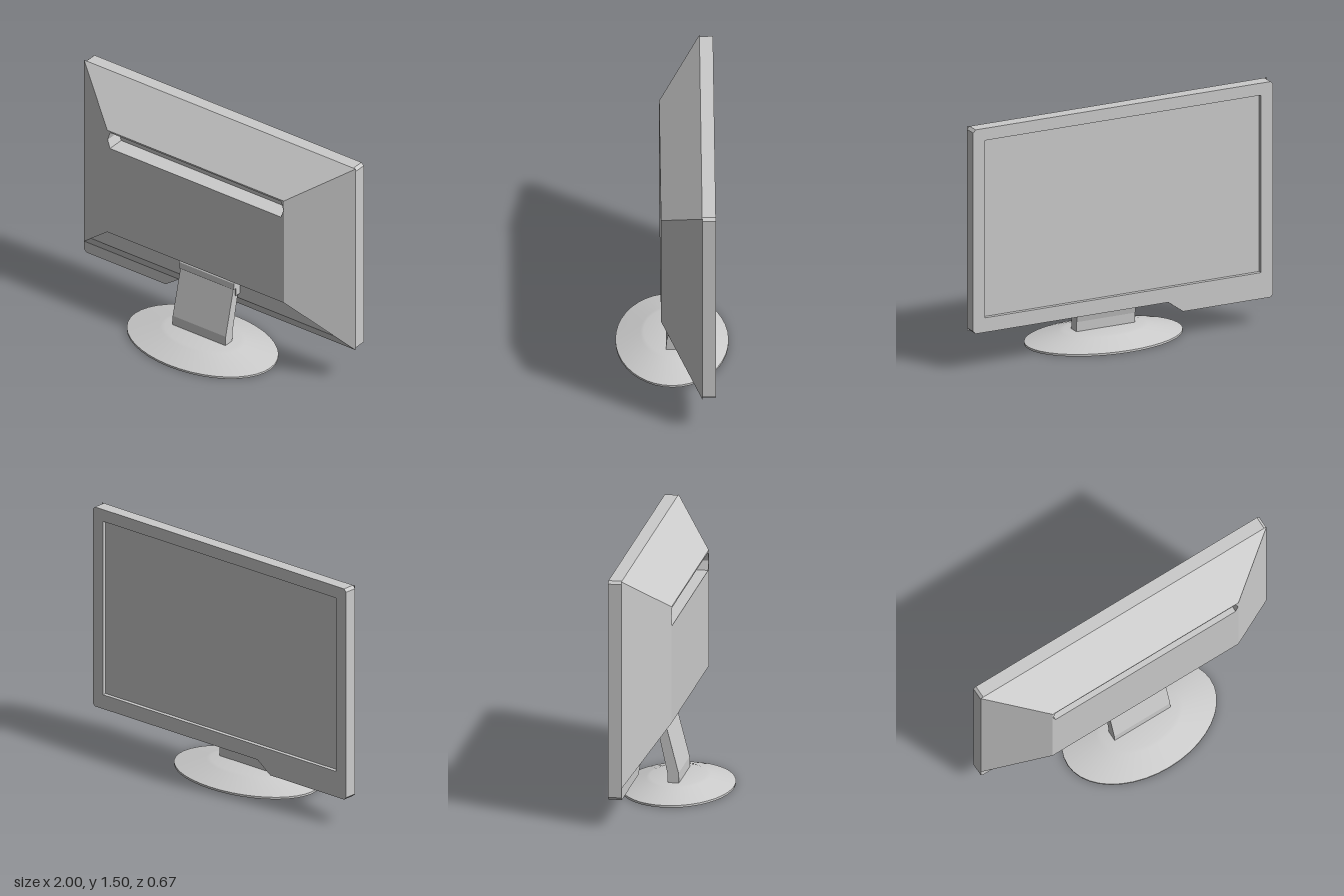
import * as THREE from 'three';
import { toCreasedNormals } from 'three/addons/utils/BufferGeometryUtils.js';

const grey = new THREE.MeshStandardMaterial({ color: 0xcccccc, side: THREE.DoubleSide });

function add(group, name, geometry) {
  const mesh = new THREE.Mesh(geometry, grey);
  mesh.name = name;
  group.add(mesh);
  return mesh;
}

// Flat-faced surface from a list of convex polygons
function polygons(list) {
  const pos = [];
  for (const p of list)
    for (let i = 1; i < p.length - 1; i++) pos.push(...p[0], ...p[i], ...p[i + 1]);
  const g = new THREE.BufferGeometry();
  g.setAttribute('position', new THREE.Float32BufferAttribute(pos, 3));
  g.computeVertexNormals();
  return g;
}

const shapeOf = pts => new THREE.Shape(pts.map(([x, y]) => new THREE.Vector2(x, y)));
const flip = ([x, y, z]) => [-x, y, z];

// Side profile given as [z, y], extruded across x
function sideExtrude(profile, width) {
  const g = new THREE.ExtrudeGeometry(shapeOf(profile.map(([z, y]) => [-z, y])),
    { depth: width, bevelEnabled: false });
  return g.translate(0, 0, -width / 2).rotateY(Math.PI / 2);
}

function createBackShell(group) {
  const zBack = -0.17, zFlat = 0.07, zRecess = -0.098, zGroove = -0.04;
  // Right-hand corners; the left ones are mirrored
  const outTop = [1, 1.505, zBack], outLow = [1, 0.24, zBack];
  const inTop = [0.65, 1.27, zFlat], inLow = [0.65, 0.56, zFlat];
  const recTop = [0.65, 0.56, zRecess], recLow = [0.895, 0.336, zRecess];

  const side = [inTop, inLow, outLow, outTop];
  const cheek = [inLow, recTop, recLow];
  const mirror = p => p.map(flip).reverse();
  add(group, 'backShell', polygons([
    [flip(outTop), flip(inTop), inTop, outTop],     // top slope
    [flip(recLow), flip(outLow), outLow, recLow],   // lower slope
    [flip(recTop), flip(recLow), recLow, recTop],   // recessed panel
    [flip(recTop), recTop, inLow, flip(inLow)],     // overhang above the recess
    side, mirror(side), cheek, mirror(cheek),
  ]));

  // Flat rear panel with a long pointed handle groove
  const hex = [[-0.63, 1.15], [0.63, 1.15], [0.647, 1.205],
    [0.63, 1.26], [-0.63, 1.26], [-0.647, 1.205]];
  const panel = shapeOf([[-0.65, 0.56], [0.65, 0.56], [0.65, 1.27], [-0.65, 1.27]]);
  panel.holes.push(shapeOf(hex));
  add(group, 'rearPanel', new THREE.ShapeGeometry(panel).translate(0, 0, zFlat));

  const walls = hex.map((a, i) => {
    const b = hex[(i + 1) % hex.length];
    return [[...a, zFlat], [...b, zFlat], [...b, zGroove], [...a, zGroove]];
  });
  add(group, 'handleGroove', polygons([...walls, hex.map(p => [...p, zGroove])]));
}

function createBezel(group) {
  // Frame outline with clipped corners and a dropped tab on one side
  const c = 0.017;
  const frame = shapeOf([
    [-1 + c, 0.168], [-0.4, 0.168], [-0.3, 0.24], [1 - c, 0.24], [1, 0.24 + c],
    [1, 1.505 - c], [1 - c, 1.505], [-1 + c, 1.505], [-1, 1.505 - c], [-1, 0.168 + c],
  ]);
  frame.holes.push(shapeOf([[-0.92, 0.33], [0.92, 0.33], [0.92, 1.43], [-0.92, 1.43]]));
  add(group, 'bezel', new THREE.ExtrudeGeometry(frame, { depth: 0.08, bevelEnabled: false })
    .translate(0, 0, -0.25));
  add(group, 'screen', new THREE.BoxGeometry(1.84, 1.1, 0.05)).position.set(0, 0.88, -0.2);
}

function createStand(group) {
  // Bent neck
  add(group, 'neck', sideExtrude([
    [0.037, 0.065], [0.034, 0.13], [-0.045, 0.435], [-0.1, 0.435], [-0.033, 0.13], [-0.03, 0.065],
  ], 0.39));
  // Hinge cover with a rounded top
  add(group, 'hingeCover', sideExtrude([
    [-0.11, 0.425], [-0.035, 0.425], [-0.038, 0.465], [-0.05, 0.485], [-0.07, 0.495], [-0.11, 0.495],
  ], 0.404));
  // Brackets behind the neck
  for (const s of [-1, 1])
    add(group, 'hingeBracket', new THREE.BoxGeometry(0.03, 0.06, 0.05)).position.set(s * 0.185, 0.4, -0.085);
  // Oval foot
  const profile = [[0, 0], [0.5, 0], [0.5, 0.013], [0.28, 0.064], [0.25, 0.07], [0, 0.07]]
    .map(([r, y]) => new THREE.Vector2(r, y));
  add(group, 'foot', toCreasedNormals(
    new THREE.LatheGeometry(profile, 40).scale(1, 1, 0.668), 0.5));
}

export function createModel() {
  const model = new THREE.Group();
  model.name = 'monitor';
  for (const [name, build] of [['housing', createBackShell], ['display', createBezel], ['stand', createStand]]) {
    const part = new THREE.Group();
    part.name = name;
    build(part);
    model.add(part);
  }
  return model;
}
